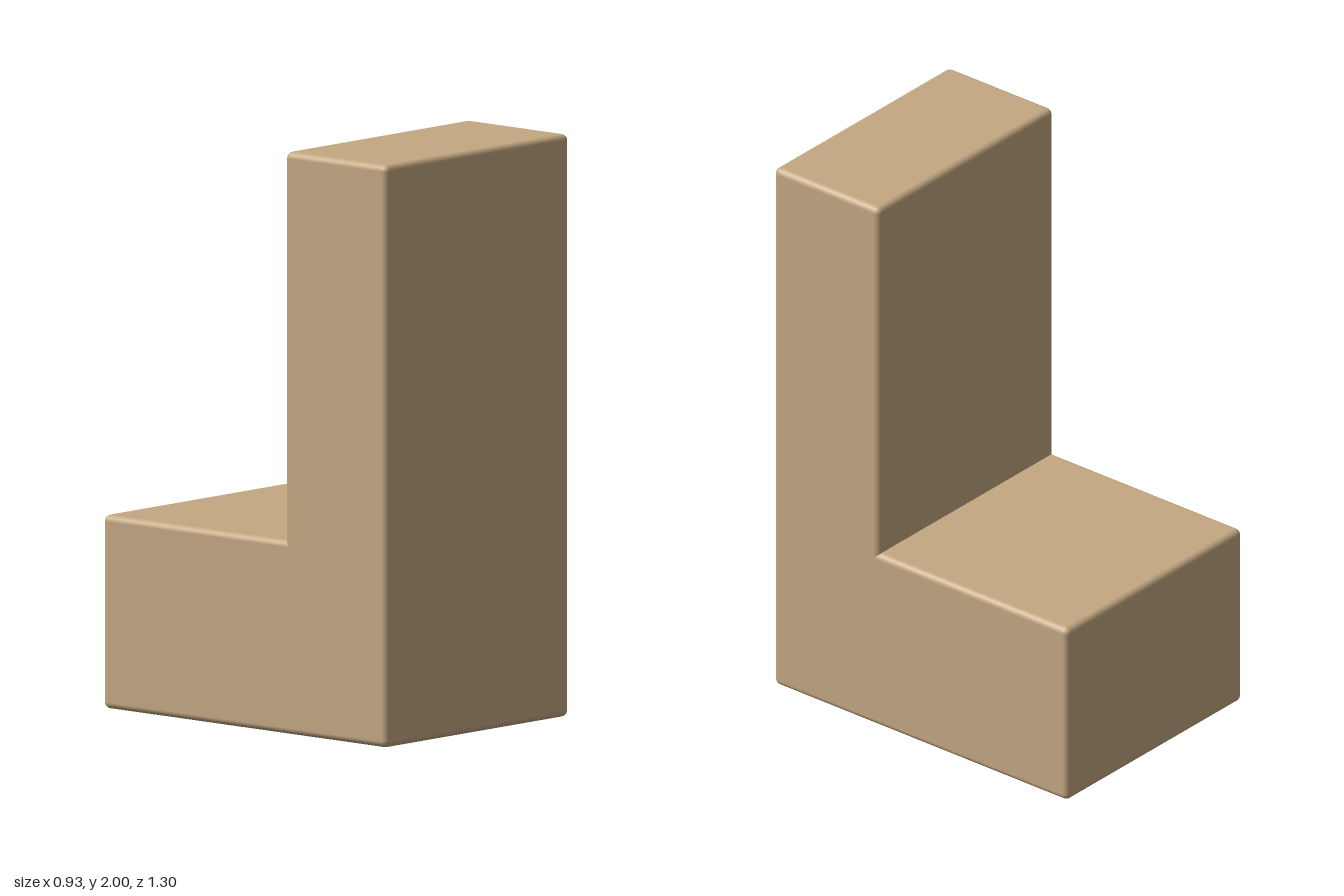
import * as THREE from 'three';
import { RoundedBoxGeometry } from 'three/addons/geometries/RoundedBoxGeometry.js';

const WIDTH = 0.932;
const EDGE = 0.023;

export function createModel() {
  const group = new THREE.Group();
  group.name = 'steppedBlock';
  const material = new THREE.MeshStandardMaterial({ color: 0xc4a882 });

  // Softly rounded block spanning y 0..height and z back..front
  function addBlock(name, height, back, front) {
    const geometry = new RoundedBoxGeometry(WIDTH, height, front - back, 4, EDGE);
    const mesh = new THREE.Mesh(geometry, material);
    mesh.name = name;
    mesh.position.set(0, height / 2, (back + front) / 2);
    group.add(mesh);
  }

  // Tall upright at the front
  addBlock('upright', 2, 0.184, 0.648);
  // Low step at the back, its end buried inside the upright
  addBlock('step', 0.665, -0.648, 0.3);
  // Foot closing the rounded seam where the two meet underneath
  const foot = new THREE.Mesh(new THREE.BoxGeometry(WIDTH - 2 * EDGE, 0.1, 0.4), material);
  foot.name = 'foot';
  foot.position.set(0, 0.05, 0.25);
  group.add(foot);

  return group;
}
